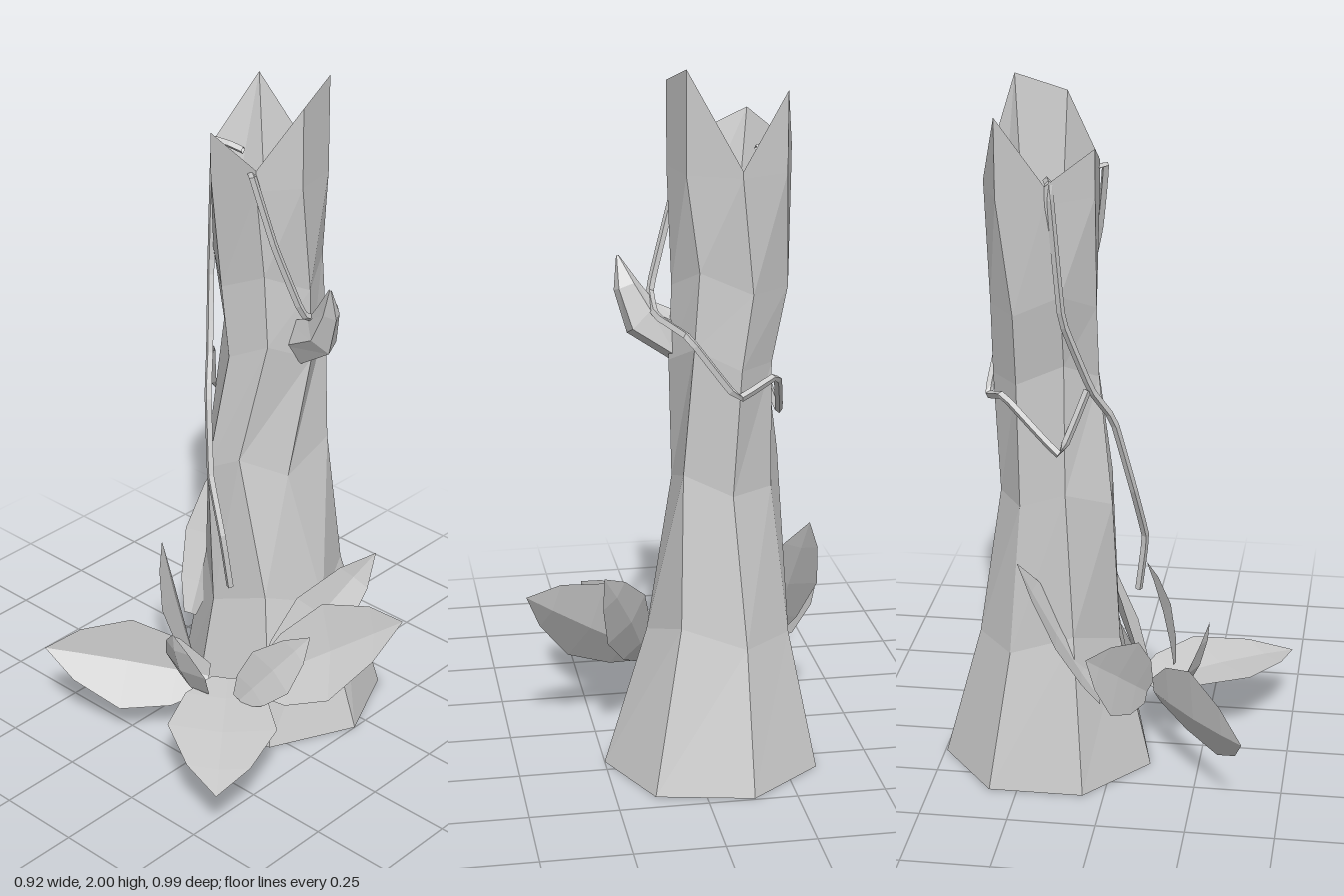
import * as THREE from 'three';

const V = (x, y, z) => new THREE.Vector3(x, y, z);
const grey = (side = THREE.FrontSide) =>
  new THREE.MeshStandardMaterial({ color: 0xcccccc, flatShading: true, side });

// Skin a list of equal-length rings of points
function loft(rings, closed = true) {
  const n = rings[0].length, pos = [];
  const put = (...pts) => pts.forEach(p => pos.push(p.x, p.y, p.z));
  for (let i = 0; i < rings.length - 1; i++) {
    for (let j = 0; j < (closed ? n : n - 1); j++) {
      const k = (j + 1) % n;
      const a = rings[i][j], b = rings[i][k], c = rings[i + 1][j], d = rings[i + 1][k];
      put(a, c, b, b, c, d);
    }
  }
  const g = new THREE.BufferGeometry();
  g.setAttribute('position', new THREE.Float32BufferAttribute(pos, 3));
  g.computeVertexNormals();
  return g;
}

function addMesh(parent, name, geometry, side) {
  const m = new THREE.Mesh(geometry, grey(side));
  m.name = name;
  parent.add(m);
}

// Seven-sided hollow trunk: foot cap, flared rings, jagged rim, inner wall, floor
function trunk() {
  const foot = [[-.13, -.495], [.14, -.44], [.25, -.2], [.13, .05], [-.13, .11], [-.34, -.06], [-.34, -.33]];
  const waist = [[-.095, -.325], [.038, -.295], [.042, -.12], [-.05, -.012], [-.16, .003], [-.26, -.115], [-.215, -.25]]
    .map(([x, z], j) => V(x, .86 + (j % 2 ? .03 : -.03), z));
  const rim = [[-.11, 1.74, -.355], [.03, 2, -.29], [.06, 1.95, -.15], [-.02, 1.78, -.05],
    [-.18, 1.85, -.04], [-.28, 1.77, -.16], [-.24, 1.94, -.3]].map(p => V(...p));
  // Ring shaped like the foot: height, centre x, centre z, half width, half depth
  const ring = (y, cx, cz, rx, rz) => foot.map(([x, z], j) =>
    V(cx + (x + .045) / .295 * rx, y + (j % 2 ? .03 : -.03), cz + (z + .195) / .305 * rz));
  const shoulder = rim.map(p => V(p.x, 1.72, p.z));
  const floor = rim.map(p => V(-.09 + (p.x + .1) * .72, 1.55, -.2 + (p.z + .2) * .72));
  const point = p => foot.map(() => p);
  return loft([point(V(-.045, 0, -.195)), foot.map(([x, z]) => V(x, 0, z)),
    ring(.43, -.07, -.185, .195, .205), waist,
    ring(1.22, -.075, -.19, .137, .15), ring(1.43, -.1, -.19, .154, .148),
    shoulder, rim, floor, point(V(-.09, 1.55, -.2))]);
}

// Tapered, flattened limb following a path
function limb(points, radii, sides) {
  return loft(points.map((p, i) => {
    const t = points[Math.min(i + 1, points.length - 1)].clone()
      .sub(points[Math.max(i - 1, 0)]).normalize();
    const n = t.clone().cross(V(0, 0, 1)).normalize();
    const s = n.clone().cross(t);
    return Array.from({ length: sides }, (_, j) => {
      const a = -j / sides * Math.PI * 2;
      return p.clone().addScaledVector(s, radii[i] * .65 * Math.cos(a)).addScaledVector(n, radii[i] * Math.sin(a));
    });
  }));
}

function vine(points) {
  const curve = new THREE.CatmullRomCurve3(points.map(p => V(...p)), false, 'catmullrom', .1);
  return new THREE.TubeGeometry(curve, points.length * 4, .011, 4, false);
}

// Creased leaf blade; half is the half-width vector at its widest
function leaf(base, tip, half, arch, crease) {
  const a = V(...base), b = V(...tip), w = V(...half);
  const n = w.clone().cross(b.clone().sub(a)).normalize();
  if (n.y < 0) n.negate();
  const profile = [[0, .3], [.2, .75], [.5, 1], [.8, .57], [1, 0]];
  return loft(profile.map(([t, k]) => {
    const mid = a.clone().lerp(b, t).addScaledVector(n, arch * 4 * t * (1 - t));
    return [-1, -.4, 0, .4, 1].map(s => mid.clone().addScaledVector(w, s * k)
      .addScaledVector(n, Math.abs(s) * k * w.length() * crease));
  }), false);
}

export function createModel() {
  const model = new THREE.Group();
  model.name = 'hollowStump';
  addMesh(model, 'trunk', trunk());

  // Broken side branch
  addMesh(model, 'branchStub', limb(
    [V(.02, 1.24, -.175), V(.13, 1.3, -.155), V(.17, 1.39, -.14), V(.19, 1.47, -.12)],
    [.07, .06, .037, .004], 5));

  // Creepers hanging over the rim and wrapping the trunk
  const vines = new THREE.Group();
  vines.name = 'vines';
  model.add(vines);
  addMesh(vines, 'hangingVine', vine([[-.18, 1.76, -.17], [-.27, 1.77, -.15], [-.26, 1.4, -.12],
    [-.2, 1.18, -.05], [-.155, 1.08, .005], [-.1, .85, .055], [-.03, .68, .08], [-.02, .51, .06]]),
    THREE.DoubleSide);
  addMesh(vines, 'wrappingVine', vine([[-.1, 1.74, -.11], [-.02, 1.77, -.035], [.04, 1.57, -.06],
    [.1, 1.37, -.11], [.1, 1.32, -.2], [.03, 1.29, -.33], [-.1, 1.12, -.355], [-.22, 1.16, -.29],
    [-.26, 1.01, -.13], [-.2, 1.18, -.06]]), THREE.DoubleSide);

  // Leaves around the foot: base, tip, half-width, arch, crease
  const leaves = new THREE.Group();
  leaves.name = 'leaves';
  model.add(leaves);
  [
    ['frontRightLeaf', [-.06, .2, .11], [-.46, .26, .4], [-.01, .135, -.04], -.01, .25],
    ['frontLeftLeaf', [-.01, .2, .08], [.33, .17, .49], [.125, 0, -.097], .012, .12],
    ['leftLeaf', [.08, .22, .05], [.46, .5, -.15], [-.05, .125, -.042], -.01, .25],
    ['backLeftLeaf', [.1, .22, .03], [.255, .59, -.27], [-.06, .055, .04], -.025, .2],
    ['smallLeftLeaf', [.1, .21, .15], [.28, .46, .045], [-.06, .05, .01], .01, .25],
    ['smallFrontLeaf', [-.045, .17, .17], [-.05, .43, .27], [.09, 0, .01], -.025, .25],
    ['backRightLeaf', [-.26, .27, -.02], [-.33, .71, -.24], [.085, .015, .002], -.01, .2],
    ['rightLeaf', [-.14, .24, .1], [-.4, .46, -.04], [.06, .087, .032], .005, .2],
  ].forEach(([name, ...spec]) => addMesh(leaves, name, leaf(...spec), THREE.DoubleSide));

  return model;
}
